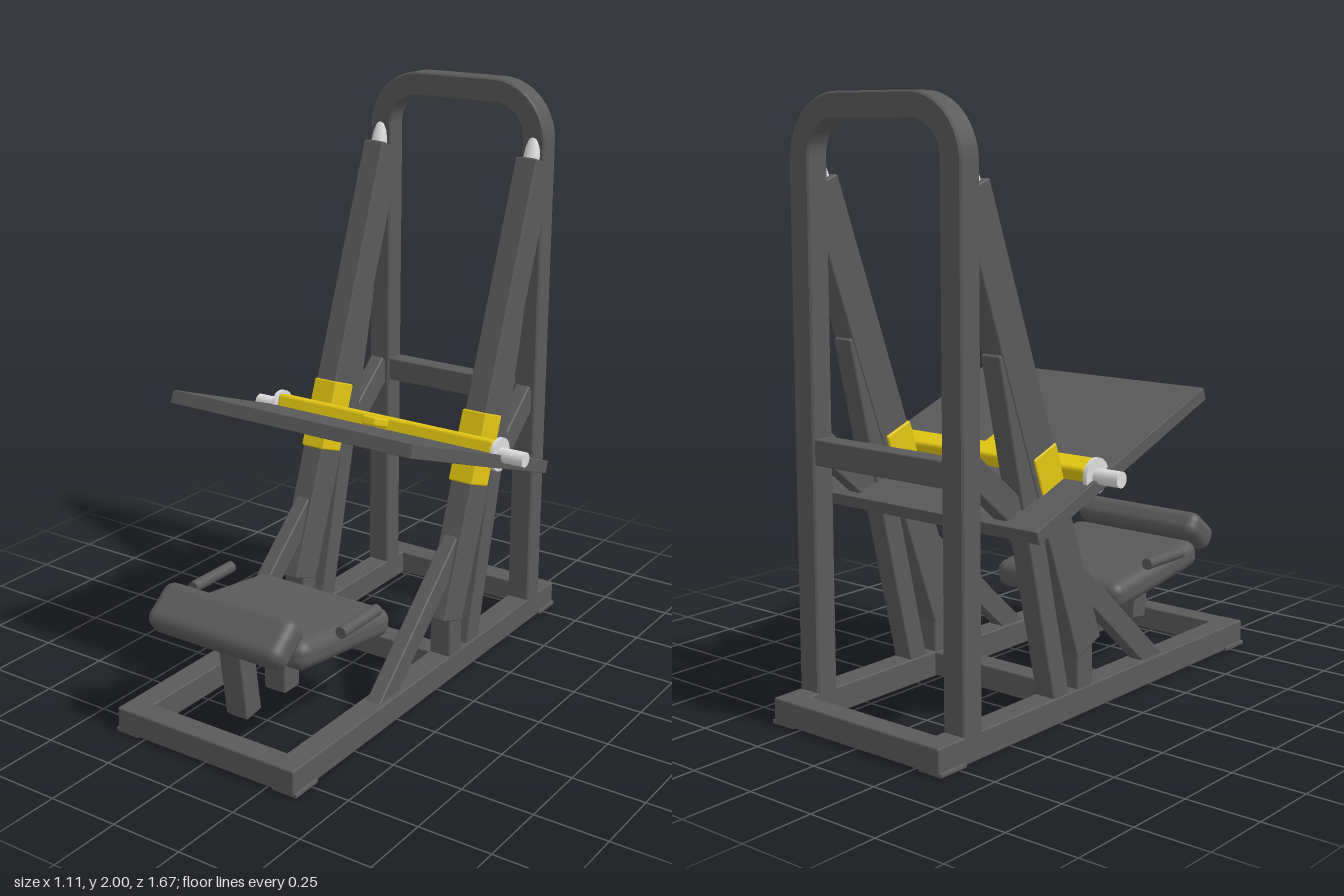
import * as THREE from 'three';
import { RoundedBoxGeometry } from 'three/addons/geometries/RoundedBoxGeometry.js';

const mat = (name, color) => {
  const m = new THREE.MeshStandardMaterial({ color });
  m.name = name;
  return m;
};

export function createModel() {
  const steel = mat('dark grey', 0x5a5a5a);
  const yellow = mat('yellow', 0xe2c612);
  const silver = mat('silver', 0xdcdcdc);
  const group = new THREE.Group();
  const TILT = 0.353; // rail and plate lean

  const add = (name, geo, material, x, y, z, rx = 0) => {
    const mesh = new THREE.Mesh(geo, material);
    mesh.name = name;
    mesh.position.set(x, y, z);
    mesh.rotation.x = rx;
    group.add(mesh);
    return mesh;
  };
  const block = (name, w, h, d, material, x, y, z, rx = 0, r = 0.006, seg = 1) =>
    add(name, new RoundedBoxGeometry(w, h, d, seg, r), material, x, y, z, rx);
  // Square tube between two [z, y] points
  const beam = (name, x, a, b, w, d) => {
    const dz = b[0] - a[0], dy = b[1] - a[1];
    return block(name, w, Math.hypot(dz, dy), d, steel,
      x, (a[1] + b[1]) / 2, (a[0] + b[0]) / 2, Math.atan2(dz, dy));
  };
  // Round rod along x or z
  const rod = (name, r, length, material, x, y, z, axis) => {
    const geo = new THREE.CylinderGeometry(r, r, length, 24);
    if (axis === 'x') geo.rotateZ(Math.PI / 2);
    else geo.rotateX(Math.PI / 2);
    return add(name, geo, material, x, y, z);
  };

  // Base frame
  for (const z of [0.792, -0.12, -0.792]) {
    block('baseCrossMember', z === -0.12 ? 0.6 : 0.7, 0.084, 0.085, steel, 0, 0.047, z);
  }

  // Arched upright frame
  const b = 0.006;
  const o = 0.355 - b, i = 0.27 + b, top = 2 - b, inner = 1.915 + b;
  const ro = 0.2, ri = 0.115;
  const arch = new THREE.Shape();
  arch.moveTo(o, 0.06);
  arch.lineTo(o, top - ro);
  arch.absarc(o - ro, top - ro, ro, 0, Math.PI / 2, false);
  arch.lineTo(-o + ro, top);
  arch.absarc(-o + ro, top - ro, ro, Math.PI / 2, Math.PI, false);
  arch.lineTo(-o, 0.06);
  arch.lineTo(-i, 0.06);
  arch.lineTo(-i, inner - ri);
  arch.absarc(-i + ri, inner - ri, ri, Math.PI, Math.PI / 2, true);
  arch.lineTo(i - ri, inner);
  arch.absarc(i - ri, inner - ri, ri, Math.PI / 2, 0, true);
  arch.lineTo(i, 0.06);
  const archGeo = new THREE.ExtrudeGeometry(arch, {
    depth: 0.085 - 2 * b, bevelEnabled: true, bevelSize: b, bevelThickness: b,
    bevelSegments: 1, curveSegments: 12,
  });
  add('uprightArch', archGeo, steel, 0, 0, -0.72 + b);
  block('uprightCrossbar', 0.58, 0.085, 0.07, steel, 0, 0.88, -0.678);

  // Rubber stop profile: a short bullet
  const stopProfile = [[0.029, 0], [0.028, 0.035], [0.022, 0.065], [0.012, 0.082], [0, 0.086]]
    .map(([r, y]) => new THREE.Vector2(r, y));

  // Parts mirrored on both sides
  for (const s of [1, -1]) {
    const x = s * 0.3125;
    block('baseSideRail', 0.085, 0.09, 1.67, steel, x, 0.045, 0);
    for (const e of [1, -1]) block('footPlate', 0.09, 0.014, 0.115, steel, s * 0.32, 0.007, e * 0.776, 0, 0.003);

    beam('guideRail', x, [-0.098, 0.2175], [-0.652, 1.727], 0.083, 0.13);
    beam('railPost', x, [-0.12, 0.07], [-0.12, 0.32], 0.08, 0.08);
    beam('steepStrut', x, [-0.236, 0.07], [-0.51, 1.23], 0.075, 0.078);
    beam('frontStrut', x, [0.32, 0.05], [-0.17, 0.49], 0.055, 0.08);
    beam('rearBrace', x, [-0.65, 0.895], [-0.36, 0.652], 0.055, 0.09);
    add('railStop', new THREE.LatheGeometry(stopProfile, 20), silver, x, 1.738, -0.628, -TILT);

    block('carriageBlock', 0.096, 0.25, 0.116, yellow, s * 0.311, 0.788, -0.294, -TILT);

    rod('weightPeg', 0.026, 0.13, silver, s * 0.49, 0.82, -0.207, 'x');
    rod('pegCollar', 0.058, 0.014, silver, s * 0.455, 0.82, -0.207, 'x');

    rod('handGrip', 0.02, 0.205, steel, s * 0.3, 0.405, 0.4, 'z');
  }

  // Foot plate with its crossbar and tab
  block('pressPlate', 0.95, 0.045, 0.95, steel, 0, 0.845, -0.072, -TILT, 0.002);
  block('carriageBar', 0.9, 0.088, 0.084, yellow, 0, 0.82, -0.207, -TILT, 0.014, 2);
  block('plateTab', 0.06, 0.032, 0.11, yellow, 0, 0.863, -0.148, -TILT, 0.008);

  // Seat, front pad and their posts
  block('seatPad', 0.55, 0.1, 0.51, steel, 0, 0.334, 0.414, -0.14, 0.042, 4);
  block('frontPad', 0.53, 0.1, 0.165, steel, 0, 0.432, 0.71, 0.66, 0.04, 4);
  beam('frontPost', 0, [0.62, 0.09], [0.66, 0.38], 0.085, 0.078);
  beam('seatPost', 0, [0.415, 0.09], [0.415, 0.32], 0.085, 0.082);

  return group;
}
